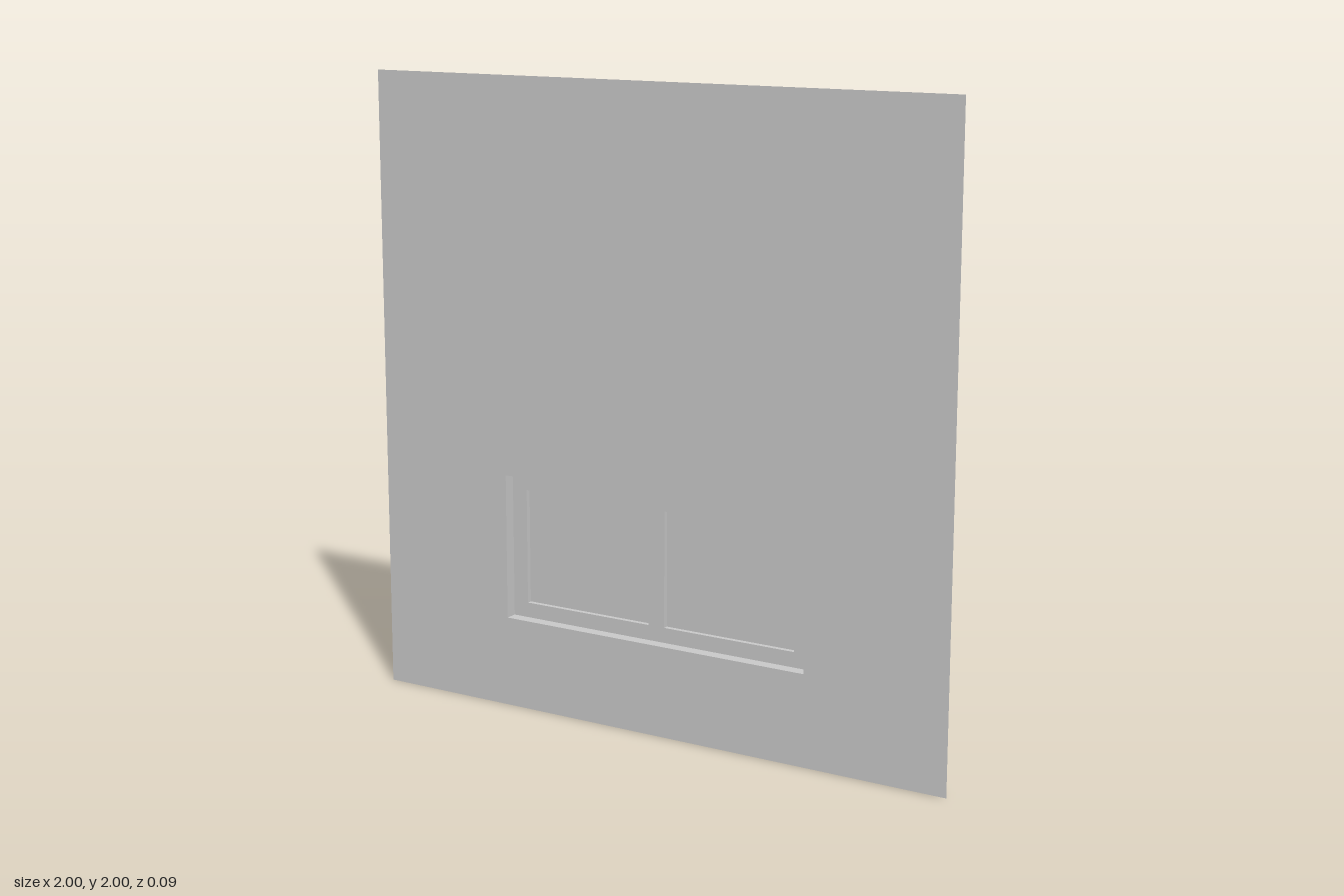
import * as THREE from 'three';

const material = new THREE.MeshStandardMaterial({ color: 0xcccccc, side: THREE.DoubleSide, flatShading: true });

// Rectangles are given as [x0, y0, x1, y1]
function outline([x0, y0, x1, y1], Type) {
  return new Type([
    new THREE.Vector2(x0, y0), new THREE.Vector2(x1, y0),
    new THREE.Vector2(x1, y1), new THREE.Vector2(x0, y1),
  ]);
}

// Thin flat sheet at depth z, with optional rectangular openings
function sheet(name, rect, z, openings = []) {
  const shape = outline(rect, THREE.Shape);
  shape.holes = openings.map((o) => outline(o, THREE.Path));
  const mesh = new THREE.Mesh(new THREE.ShapeGeometry(shape), material);
  mesh.name = name;
  mesh.position.z = z;
  return mesh;
}

// Four thin walls around a rectangle, running from zBack to zFront
function surround(name, [x0, y0, x1, y1], zBack, zFront) {
  const group = new THREE.Group();
  group.name = name;
  const depth = zFront - zBack;
  const z = (zFront + zBack) / 2;
  for (const x of [x0, x1]) {
    const side = new THREE.Mesh(new THREE.PlaneGeometry(depth, y1 - y0), material);
    side.name = name + 'Side';
    side.rotation.y = x === x0 ? -Math.PI / 2 : Math.PI / 2;
    side.position.set(x, (y0 + y1) / 2, z);
    group.add(side);
  }
  for (const y of [y0, y1]) {
    const rail = new THREE.Mesh(new THREE.PlaneGeometry(x1 - x0, depth), material);
    rail.name = name + (y === y0 ? 'Bottom' : 'Top');
    rail.rotation.x = y === y0 ? Math.PI / 2 : -Math.PI / 2;
    rail.position.set((x0 + x1) / 2, y, z);
    group.add(rail);
  }
  return group;
}

export function createModel() {
  const model = new THREE.Group();
  model.name = 'wallWithWindow';

  const front = 0.046, back = -0.046;
  const frameZ = 0.007, sashBack = -0.028, paneZ = -0.009;
  const opening = [-0.532, 0.29, 0.532, 0.755];
  const panes = [[-0.48, 0.338, -0.028, 0.706], [0.028, 0.338, 0.48, 0.706]];

  // Wall sheet with the window opening, and the lining running back from it
  model.add(sheet('wall', [-1, 0, 1, 2], front, [opening]));
  model.add(surround('lining', opening, back, front));

  // Recessed frame with two lights
  model.add(sheet('windowFrame', opening, frameZ, panes));
  for (const rect of panes) {
    model.add(surround('sash', rect, sashBack, frameZ));
    model.add(sheet('pane', rect, paneZ));
  }
  return model;
}
